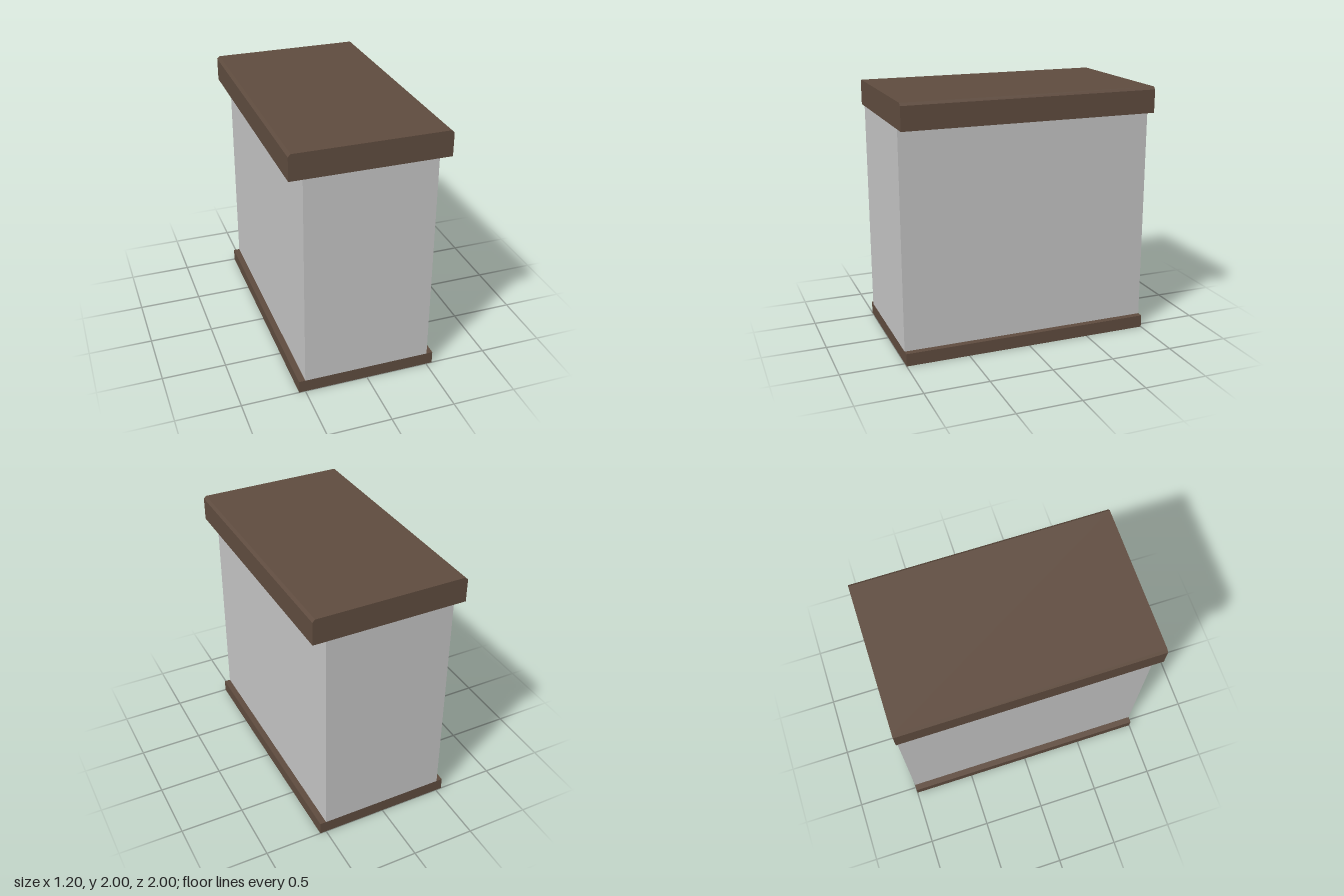
import * as THREE from 'three';

const LENGTH = 2;

export function createModel() {
  const stone = new THREE.MeshStandardMaterial({ name: 'grey stone', color: 0xc2c2c2 });
  const brown = new THREE.MeshStandardMaterial({ name: 'dark brown', color: 0x5e4b3e });
  const group = new THREE.Group();
  group.name = 'wallSegment';

  // Extrudes a front profile along the full length of the wall
  const addPart = (name, points, material) => {
    const shape = new THREE.Shape(points.map(([x, y]) => new THREE.Vector2(x, y)));
    const geometry = new THREE.ExtrudeGeometry(shape, { depth: LENGTH, bevelEnabled: false });
    geometry.translate(0, 0, -LENGTH / 2);
    const mesh = new THREE.Mesh(geometry, material);
    mesh.name = name;
    group.add(mesh);
  };
  const rect = (w, y0, y1) => [[-w, y0], [w, y0], [w, y1], [-w, y1]];

  // Plinth and wall body
  addPart('base', rect(0.55, 0, 0.1), brown);
  addPart('wall', rect(0.5, 0.1, 1.8), stone);

  // Coping with chamfered long edges
  addPart('cap', [
    [-0.6, 1.8], [0.6, 1.8], [0.6, 1.98], [0.58, 2], [-0.58, 2], [-0.6, 1.98],
  ], brown);

  return group;
}
